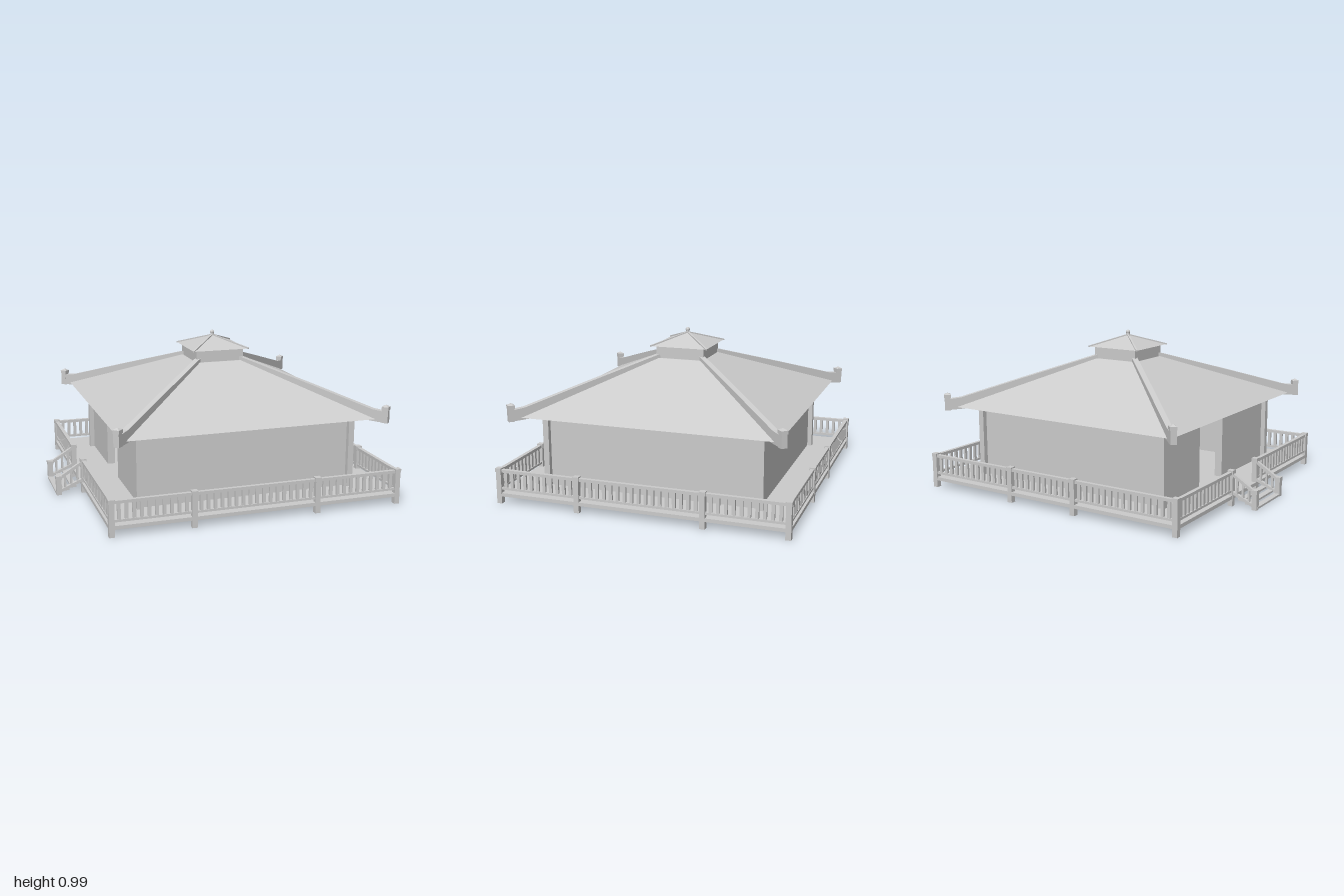
import * as THREE from 'three';

const CX = 0.08; // pavilion centre; the steps extend to -x
const mat = new THREE.MeshStandardMaterial({ color: 0xcccccc, flatShading: true });

function add(parent, name, geo, x = 0, y = 0, z = 0) {
  const m = new THREE.Mesh(geo, mat);
  m.name = name;
  m.position.set(x, y, z);
  parent.add(m);
  return m;
}

// Box given by its base height and top height
function block(parent, name, w, d, y0, y1, x, z) {
  return add(parent, name, new THREE.BoxGeometry(w, y1 - y0, d), x, (y0 + y1) / 2, z);
}

// Four-sided frustum aligned to the axes
function frustum(parent, name, top, bottom, y0, y1) {
  const g = new THREE.CylinderGeometry(top * Math.SQRT2, bottom * Math.SQRT2, y1 - y0, 4);
  return add(parent, name, g.rotateY(Math.PI / 4), 0, (y0 + y1) / 2, 0);
}

function post(parent, x, z, top = 0.2) {
  block(parent, 'railPost', 0.033, 0.033, 0, top, x, z);
  block(parent, 'railPostCap', 0.038, 0.038, top, top + 0.024, x, z);
}

// Straight railing between two points on the deck
function railing(parent, x0, z0, x1, z1) {
  const g = new THREE.Group();
  g.name = 'railing';
  const len = Math.hypot(x1 - x0, z1 - z0);
  g.position.set((x0 + x1) / 2, 0, (z0 + z1) / 2);
  g.rotation.y = -Math.atan2(z1 - z0, x1 - x0);
  block(g, 'topRail', len, 0.024, 0.198, 0.216, 0, 0);
  block(g, 'bottomRail', len, 0.02, 0.088, 0.102, 0, 0);
  const n = Math.round(len / 0.044);
  for (let i = 1; i < n; i++) block(g, 'baluster', 0.02, 0.014, 0.1, 0.2, -len / 2 + (i * len) / n, 0);
  parent.add(g);
}

// Sloping beam in a plane of constant z
function beam(parent, name, x0, y0, x1, y1, z, h, d) {
  const g = new THREE.BoxGeometry(Math.hypot(x1 - x0, y1 - y0), h, d);
  const m = add(parent, name, g, (x0 + x1) / 2, (y0 + y1) / 2, z);
  m.rotation.z = Math.atan2(y1 - y0, x1 - x0);
}

// Hip ridge: side outline of [distance from centre, height], extruded to a width
function ridge(parent, name, points, width, k) {
  const s = new THREE.Shape(points.map(([o, y]) => new THREE.Vector2(o * Math.SQRT2, y)));
  const g = new THREE.ExtrudeGeometry(s, { depth: width, bevelEnabled: false });
  const m = add(parent, name, g.translate(0, 0, -width / 2));
  m.rotation.y = Math.PI / 4 + (k * Math.PI) / 2;
}

export function createModel() {
  const model = new THREE.Group();
  const house = new THREE.Group();
  house.name = 'pavilion';
  house.position.x = CX;
  model.add(house);

  block(house, 'deck', 1.83, 1.83, 0.046, 0.068, 0, 0);

  // Walls, with a doorway on the -x side
  const H = 0.526, B = 0.044, W = 0.67, T = 0.05, c = W - T / 2;
  for (const s of [-1, 1]) block(house, 'wall', 2 * W, T, B, H, 0, s * c);
  block(house, 'wall', T, 2 * (W - T), B, H, c, 0);
  for (const [a, b] of [[-W + T, -0.22], [0.08, W - T]])
    block(house, 'doorwayWall', T, b - a, B, H, -c, (a + b) / 2);
  for (const x of [-1, 1]) for (const z of [-1, 1])
    block(house, 'cornerColumn', 0.037, 0.037, B, H, x * 0.682, z * 0.682);

  // Main roof and raised lantern roof
  frustum(house, 'mainRoof', 0.165, 0.81, 0.524, 0.81);
  block(house, 'lanternBase', 0.315, 0.315, 0.8, 0.89, 0, 0);
  frustum(house, 'lanternRoof', 0.004, 0.185, 0.887, 0.957);
  add(house, 'finialStem', new THREE.CylinderGeometry(0.011, 0.014, 0.03, 8), 0, 0.963, 0);
  add(house, 'finial', new THREE.SphereGeometry(0.014, 10, 8), 0, 0.977, 0);

  // Hip ridges with upright end blocks
  for (let k = 0; k < 4; k++) {
    ridge(house, 'hipRidge', [[0.14, 0.8], [0.4, 0.68], [0.72, 0.516], [0.845, 0.506],
      [0.845, 0.575], [0.78, 0.585], [0.5, 0.697], [0.14, 0.837]], 0.036, k);
    ridge(house, 'lanternRidge', [[0, 0.95], [0.187, 0.884], [0.187, 0.893], [0, 0.964]], 0.012, k);
    const a = Math.PI / 4 + (k * Math.PI) / 2;
    const x = 0.838 * Math.SQRT2 * Math.cos(a), z = 0.838 * Math.SQRT2 * Math.sin(a);
    block(house, 'ridgeEnd', 0.037, 0.037, 0.505, 0.585, x, z).rotation.y = Math.PI / 4;
    block(house, 'ridgeEndCap', 0.042, 0.042, 0.585, 0.606, x, z).rotation.y = Math.PI / 4;
    const tip = add(house, 'ridgeEndTip', new THREE.ConeGeometry(0.029, 0.012, 4), x, 0.612, z);
    tip.rotation.y = 0;
  }

  // Railing posts and runs round the deck, open at the steps
  const L = -0.82, R = 0.98, E = 0.9, SA = -0.235, SB = 0.1;
  const runs = [
    [[L, E], [-0.33, E], [0.445, E], [R, E]],
    [[R, E], [R, 0.385], [R, -0.4], [R, -E]],
    [[R, -E], [0.355, -E], [-0.12, -E], [L, -E]],
    [[L, -E], [L, SA]],
    [[L, SB], [L, E]],
  ];
  runs.forEach((run, r) => {
    run.forEach(([x, z], i) => {
      if (i < run.length - 1) railing(model, x, z, ...run[i + 1]);
      if (i < run.length - 1 || r === 3) post(model, x, z);
    });
  });

  // Steps with sloping handrails
  const steps = new THREE.Group();
  steps.name = 'steps';
  model.add(steps);
  for (const z of [SA, SB]) {
    post(steps, -0.981, z, 0.1);
    beam(steps, 'handrail', -0.985, 0.103, -0.82, 0.205, z, 0.018, 0.022);
    beam(steps, 'stringer', -0.985, 0.018, -0.83, 0.085, z, 0.018, 0.022);
    for (const t of [0.25, 0.5, 0.75]) {
      const x = -0.98 + 0.16 * t;
      block(steps, 'stepBaluster', 0.013, 0.013, 0.02 + 0.065 * t, 0.106 + 0.1 * t, x, z);
    }
  }
  for (let i = 0; i < 3; i++)
    block(steps, 'tread', 0.037, SB - SA, 0.006 + i * 0.016, 0.018 + i * 0.016, -0.981 + i * 0.048, (SA + SB) / 2);

  return model;
}
